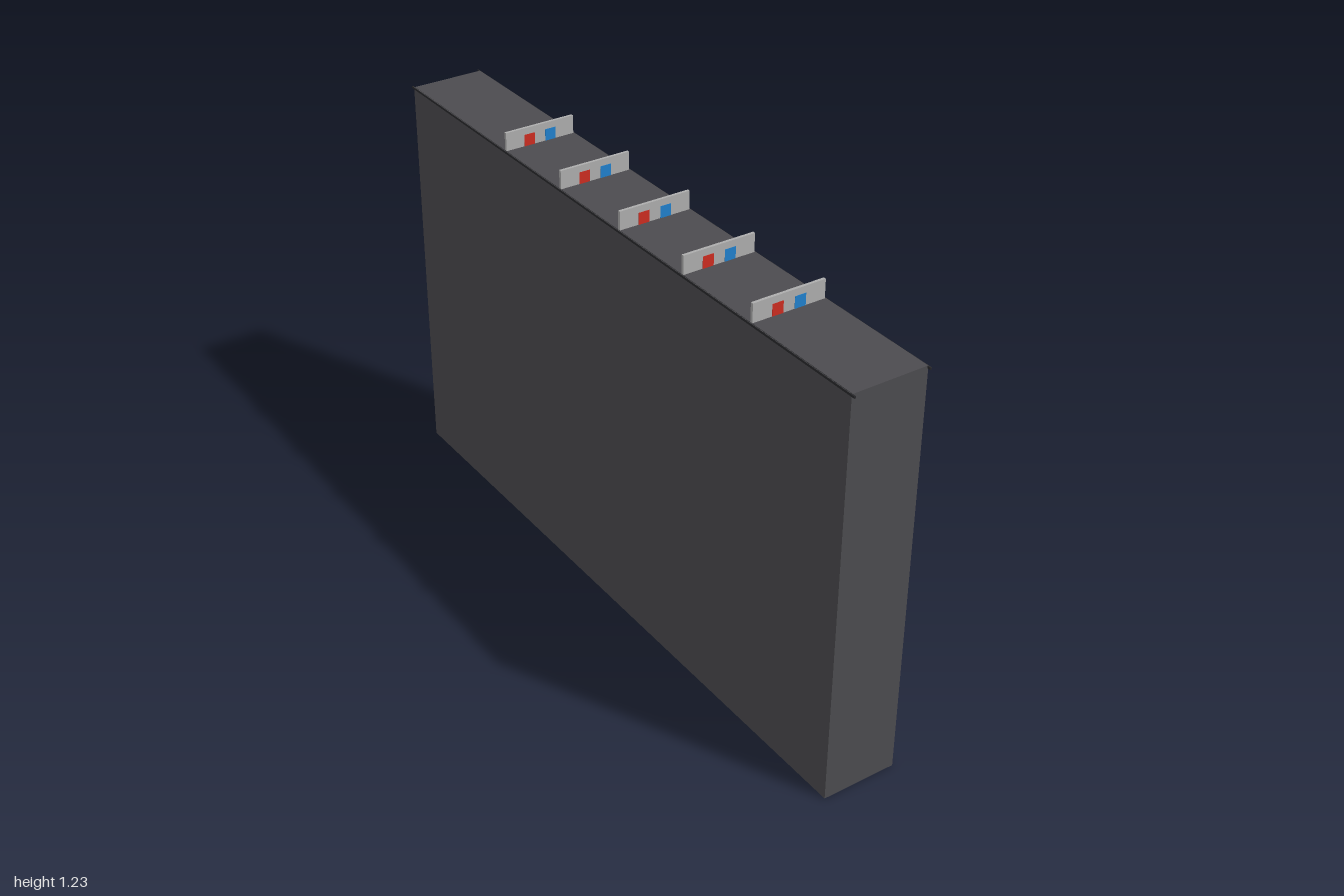
import * as THREE from 'three';

const paint = (name, color) => {
  const m = new THREE.MeshStandardMaterial({ color });
  m.name = name;
  return m;
};

export function createModel() {
  const model = new THREE.Group();
  model.name = 'gateCourse';
  const charcoal = paint('charcoal', 0x4c4b4f);
  const grey = paint('panelGrey', 0xadadad);
  const red = paint('doorRed', 0xcc2c20);
  const blue = paint('doorBlue', 0x2080cc);
  const dark = paint('railDark', 0x29292c);

  const box = (name, mat, w, h, d, x, y, z, parent = model) => {
    const mesh = new THREE.Mesh(new THREE.BoxGeometry(w, h, d), mat);
    mesh.name = name;
    mesh.position.set(x, y, z);
    parent.add(mesh);
    return mesh;
  };

  // Tall block with a walkway on top
  const top = 1.178;
  box('block', charcoal, 0.216, top, 1.98, 0, top / 2, 0);

  // Thin rails along both long top edges
  for (const s of [-1, 1]) box('edgeRail', dark, 0.004, 0.006, 2, s * 0.107, top - 0.003, 0);

  // Five gates, each a grey wall with a red and a blue door showing on both faces
  for (let i = 0; i < 5; i++) {
    const gate = new THREE.Group();
    gate.name = 'gate';
    gate.position.set(0, top, 0.622 - i * 0.2755);
    box('gateWall', grey, 0.21, 0.052, 0.008, 0, 0.026, 0, gate);
    box('redDoor', red, 0.032, 0.033, 0.0098, -0.033, 0.0165, 0, gate);
    box('blueDoor', blue, 0.032, 0.033, 0.0098, 0.032, 0.0165, 0, gate);
    model.add(gate);
  }

  // Tiny runner waiting behind the last gate
  const runner = new THREE.Group();
  runner.name = 'runner';
  runner.position.set(0, top, -0.516);
  box('torso', red, 0.007, 0.008, 0.006, 0, 0.011, 0, runner);
  box('head', dark, 0.005, 0.005, 0.005, 0, 0.0175, 0, runner);
  for (const s of [-1, 1]) {
    box('leg', blue, 0.003, 0.009, 0.003, s * 0.002, 0.0045, s * 0.004, runner).rotation.x = -s * 0.6;
    box('arm', dark, 0.008, 0.003, 0.003, s * 0.007, 0.013, -s * 0.003, runner).rotation.y = s * 0.4;
  }
  model.add(runner);
  return model;
}
